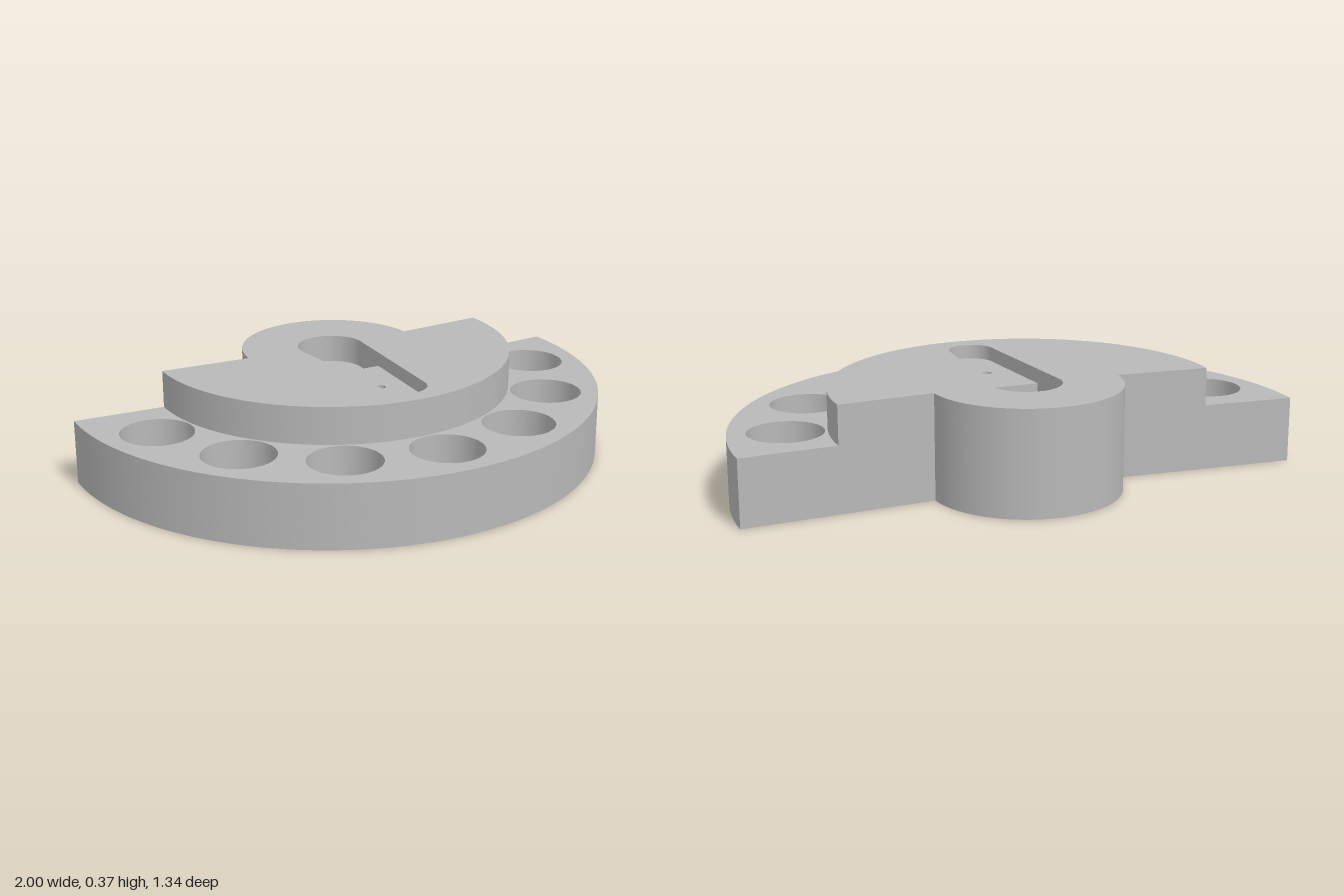
import * as THREE from 'three';
import { toCreasedNormals } from 'three/addons/utils/BufferGeometryUtils.js';

const rad = THREE.MathUtils.degToRad;
const START = rad(-16.1), END = rad(171); // radial ends of the sector
const BOSS = 0.335, BASE = 1.005, UPPER = 0.67;

// Sector plus round boss, drawn around the pivot (shape x = x, shape y = z)
function sector(radius) {
  const s = new THREE.Shape();
  s.absarc(0, 0, radius, START, END, false);
  s.absarc(0, 0, BOSS, END, START + Math.PI * 2, false);
  s.closePath();
  return s;
}

function circle(x, z, r) {
  return new THREE.Path().absarc(x, z, r, 0, Math.PI * 2, false);
}

// Seven holes, one fourteenth of a turn apart
function ringHoles() {
  return Array.from({ length: 7 }, (_, i) => {
    const a = (i * Math.PI) / 7;
    return circle(0.81 * Math.cos(a), 0.81 * Math.sin(a), 0.131);
  });
}

// Tapered slot: a large round end at the pivot and a small one further out
const TIP = new THREE.Vector2(0.118, 0.508), R1 = 0.125, R2 = 0.082;
const phi = TIP.angle(), beta = Math.acos((R1 - R2) / TIP.length());

function slot(cutAt) {
  const p = new THREE.Path();
  p.absarc(0, 0, R1, phi + beta, phi - beta + Math.PI * 2, false);
  if (cutAt) {
    // Deep part ends in a straight step across the slot
    const w = (R1 - cutAt * Math.cos(beta)) / Math.sin(beta);
    for (const side of [-w, w]) {
      p.lineTo(cutAt * Math.cos(phi) - side * Math.sin(phi),
        cutAt * Math.sin(phi) + side * Math.cos(phi));
    }
  } else {
    p.absarc(TIP.x, TIP.y, R2, phi - beta, phi + beta, false);
  }
  p.closePath();
  return p;
}

export function createModel() {
  const group = new THREE.Group();
  group.name = 'steppedSectorPlate';
  const grey = new THREE.MeshStandardMaterial({ color: 0xb8b8b8 });
  grey.name = 'grey';

  // One horizontal layer from y = bottom to y = top
  function layer(name, radius, bottom, top, holes) {
    const shape = sector(radius);
    shape.holes.push(...holes);
    const geo = new THREE.ExtrudeGeometry(shape, {
      depth: top - bottom, bevelEnabled: false, curveSegments: 64,
    });
    geo.rotateX(Math.PI / 2);
    geo.translate(-0.006, top, -0.337);
    const mesh = new THREE.Mesh(toCreasedNormals(geo, 0.5), grey);
    mesh.name = name;
    group.add(mesh);
  }

  // Base tier with the round recess under the boss
  layer('baseRecessed', BASE, 0, 0.11, [...ringHoles(), circle(0, 0, 0.255)]);
  layer('baseUpper', BASE, 0.11, 0.235, ringHoles());

  // Upper tier with the stepped slot and small blind hole
  layer('slotFloor', UPPER, 0.235, 0.27, []);
  layer('slotStep', UPPER, 0.27, 0.32, [slot(0.16), circle(0.082, 0.358, 0.018)]);
  layer('slotRim', UPPER, 0.32, 0.372, [slot()]);

  return group;
}
